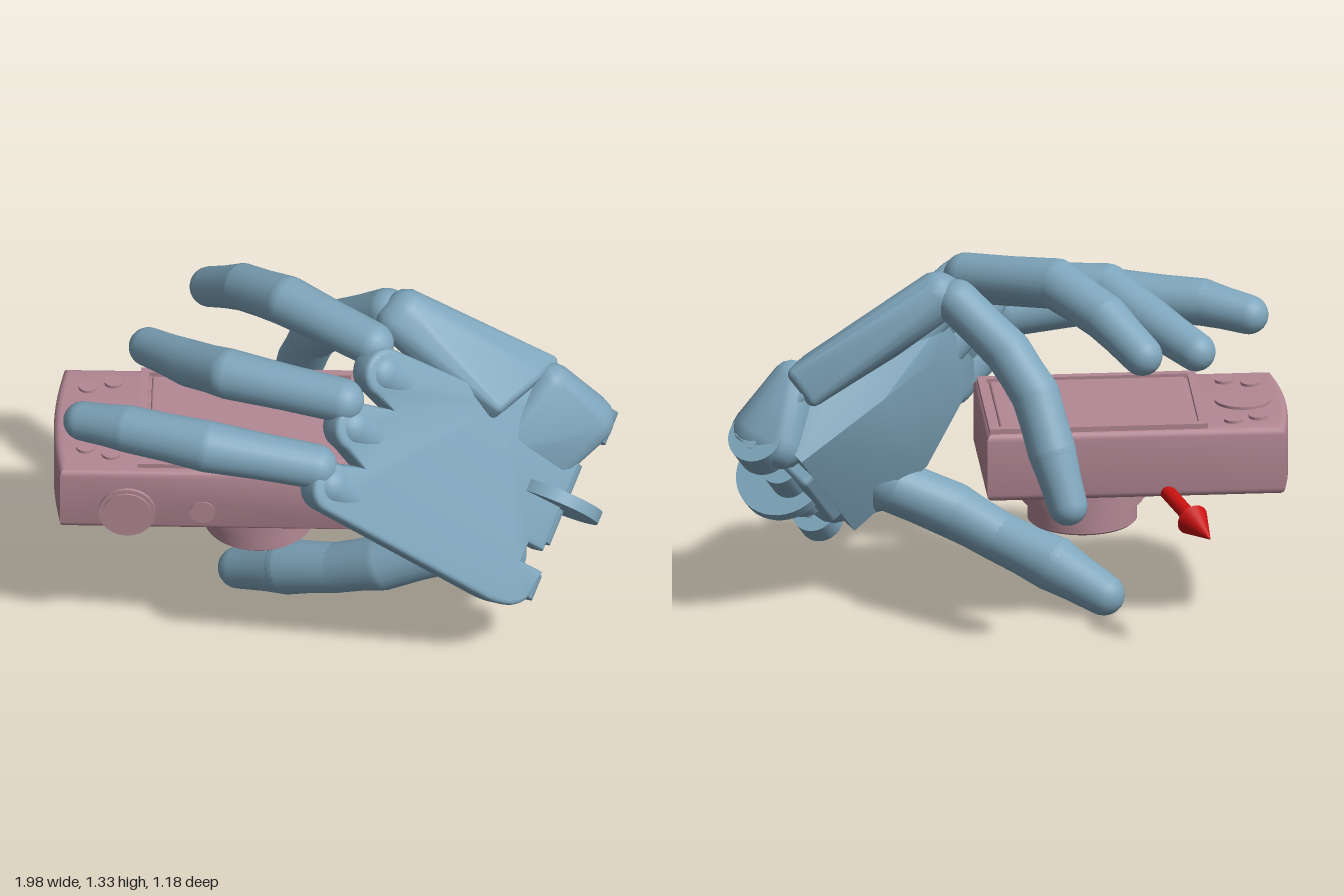
import * as THREE from 'three';
import { toCreasedNormals } from 'three/addons/utils/BufferGeometryUtils.js';
import { RoundedBoxGeometry } from 'three/addons/geometries/RoundedBoxGeometry.js';
import { ConvexGeometry } from 'three/addons/geometries/ConvexGeometry.js';

const V = (x, y, z) => new THREE.Vector3(x, y, z);
const mat = (color) => new THREE.MeshStandardMaterial({ color });
const blue = mat(0x7fa6bc), pink = mat(0xb38895), red = mat(0xc81010);

function add(parent, name, geo, material, x = 0, y = 0, z = 0) {
  const m = new THREE.Mesh(geo, material);
  m.name = name;
  m.position.set(x, y, z);
  parent.add(m);
  return m;
}

// turn a +y aligned mesh so that it points along a direction
const aim = (m, dir) => m.quaternion.setFromUnitVectors(V(0, 1, 0), dir.clone().normalize());

// one round-ended, slightly waisted bone from a to b
function bone(parent, name, a, b, ra, rb) {
  const len = a.distanceTo(b), pts = [];
  for (let i = 0; i <= 6; i++) {
    const t = (i / 6) * Math.PI / 2;
    pts.push(new THREE.Vector2(ra * Math.sin(t), -ra * Math.cos(t)));
  }
  pts.push(new THREE.Vector2((ra + rb) * 0.485, len * 0.5));
  for (let i = 0; i <= 6; i++) {
    const t = (i / 6) * Math.PI / 2;
    pts.push(new THREE.Vector2(rb * Math.cos(t), len + rb * Math.sin(t)));
  }
  const m = add(parent, name, new THREE.LatheGeometry(pts, 24), blue, a.x, a.y, a.z);
  aim(m, b.clone().sub(a));
}

// chain of bones; each point is [x, y, z, radius]
function finger(parent, name, chain) {
  const g = new THREE.Group();
  g.name = name;
  parent.add(g);
  const p = chain.map((c) => V(c[0], c[1], c[2]));
  for (let i = 0; i < p.length - 1; i++) {
    bone(g, i === p.length - 2 ? 'fingertip' : 'fingerBone', p[i], p[i + 1], chain[i][3], chain[i + 1][3]);
  }
}

// smooth hull around balls given as [x, y, z, radius]
function ballHull(parent, name, balls) {
  const pts = [];
  for (const [x, y, z, r] of balls) {
    const pos = new THREE.IcosahedronGeometry(r, 2).attributes.position;
    for (let i = 0; i < pos.count; i++) pts.push(V(pos.getX(i) + x, pos.getY(i) + y, pos.getZ(i) + z));
  }
  add(parent, name, toCreasedNormals(new ConvexGeometry(pts), 0.6), blue);
}

function buildHand() {
  const hand = new THREE.Group();
  hand.name = 'hand';

  // palm frame: x across to the little finger, y to the knuckles, z out of the back of the hand
  const L = V(-0.74, 0.63, 0.23).normalize();
  const N = V(0.41, 0.62, -0.67).cross(L).normalize();
  const W = L.clone().cross(N);
  const palm = new THREE.Group();
  palm.name = 'palm';
  palm.applyMatrix4(new THREE.Matrix4().makeBasis(W, L, N).setPosition(0.8, 0.5, 0.1));
  hand.add(palm);

  // back plate with wrist notches and three knuckle lobes
  const s = new THREE.Shape();
  s.moveTo(-0.34, 0.02);
  [[-0.27, 0.01], [-0.27, 0.11], [-0.17, 0.11], [-0.17, 0.04], [0.17, 0.04], [0.17, 0.11], [0.27, 0.11],
    [0.27, 0], [0.36, 0], [0.38, 0.3], [0.22, 0.42]].forEach((q) => s.lineTo(...q));
  s.absarc(0.13, 0.92, 0.07, 0, Math.PI);
  s.lineTo(0.02, 0.82);
  s.absarc(-0.09, 0.95, 0.07, 0, Math.PI);
  s.lineTo(-0.21, 0.84);
  s.absarc(-0.32, 0.94, 0.07, 0, Math.PI);
  s.lineTo(-0.41, 0.22);
  s.quadraticCurveTo(-0.42, 0.04, -0.34, 0.02);
  const plate = new THREE.ExtrudeGeometry(s, {
    depth: 0.065, bevelSize: 0.018, bevelThickness: 0.02, bevelSegments: 3, curveSegments: 12 });
  add(palm, 'backPlate', toCreasedNormals(plate, 0.6), blue, 0, 0, -0.055);

  // rounded knuckle ridges at the ends of the lobes
  [[-0.31, 0.94], [-0.09, 0.95], [0.13, 0.92]].forEach(([x, y]) => {
    bone(palm, 'knuckle', V(x, y - 0.25, -0.06), V(x, y, -0.03), 0.07, 0.08);
  });

  // fleshy inside of the palm
  const pad = [[-0.34, 0.08, -0.05], [0.34, 0.08, -0.05], [-0.29, 0.08, -0.22], [0.3, 0.08, -0.21],
    [-0.37, 0.4, -0.06], [-0.28, 0.42, -0.24], [0.2, 0.45, -0.2], [0.32, 0.4, -0.06],
    [-0.32, 0.8, -0.08], [0.14, 0.8, -0.1], [-0.2, 0.7, -0.17], [0.1, 0.68, -0.17]];
  add(palm, 'palmPad', toCreasedNormals(new ConvexGeometry(pad.map((q) => V(...q))), 0.7), blue);

  // wrist hinge: end lugs, block and a large centre disc
  const lug = (name, x, r, w, z) => {
    add(palm, name, new THREE.CylinderGeometry(r, r, w, 40), blue, x, 0.03, z).rotation.z = Math.PI / 2;
  };
  lug('wristLug', -0.31, 0.08, 0.09, -0.06);
  lug('wristLug', 0.31, 0.1, 0.12, -0.04);
  lug('wristDisc', 0, 0.17, 0.045, -0.02);
  lug('wristPin', 0, 0.07, 0.3, -0.07);
  add(palm, 'wristBlock', new RoundedBoxGeometry(0.34, 0.14, 0.2, 2, 0.02), blue, 0, 0.1, -0.11);

  // folded block that carries the little finger, and the wrist corner below it
  ballHull(hand, 'littleFingerBlock', [[0.24, 1.215, -0.06, 0.085], [0.2, 1.2, -0.03, 0.07],
    [0.74, 0.955, -0.12, 0.03], [0.69, 0.97, -0.04, 0.03], [0.56, 0.94, 0.11, 0.03],
    [0.68, 0.87, -0.13, 0.03], [0.52, 0.87, 0.08, 0.03]]);
  ballHull(hand, 'wristCorner', [[0.75, 0.91, -0.06, 0.075], [0.87, 0.73, -0.09, 0.1],
    [0.8, 0.7, -0.14, 0.085], [0.6, 0.75, 0.08, 0.05], [0.74, 0.6, 0.05, 0.05]]);

  // ball of the thumb
  ballHull(hand, 'thumbBase', [[0.58, 0.37, 0.22, 0.09], [0.41, 0.42, 0.23, 0.1], [0.56, 0.55, 0.1, 0.08]]);

  finger(hand, 'indexFinger', [[-0.07, 0.945, 0.485, 0.08], [-0.45, 1.01, 0.465, 0.092],
    [-0.73, 1.01, 0.37, 0.084], [-0.89, 0.985, 0.295, 0.07]]);
  finger(hand, 'middleFinger', [[0.02, 1.12, 0.33, 0.08], [-0.38, 1.13, 0.2, 0.09],
    [-0.52, 1.06, 0.05, 0.084], [-0.67, 1.0, -0.12, 0.07]]);
  finger(hand, 'ringFinger', [[0.12, 1.22, 0.13, 0.08], [-0.18, 1.25, -0.07, 0.09],
    [-0.34, 1.18, -0.24, 0.084], [-0.46, 1.08, -0.37, 0.072]]);
  finger(hand, 'littleFinger', [[0.17, 1.2, -0.09, 0.08], [0, 1.05, -0.21, 0.084],
    [-0.09, 0.92, -0.31, 0.086], [-0.14, 0.74, -0.4, 0.085], [-0.19, 0.56, -0.465, 0.07]]);
  finger(hand, 'thumb', [[0.4, 0.42, 0.24, 0.1], [0.16, 0.315, 0.21, 0.1], [0, 0.235, 0.14, 0.09],
    [-0.18, 0.165, 0.045, 0.1], [-0.35, 0.08, -0.055, 0.075]]);
  return hand;
}

function buildCamera() {
  const cam = new THREE.Group();
  cam.name = 'camera';

  // body with a bowed left end, lying on its lens side
  const s = new THREE.Shape();
  s.moveTo(-0.95, -0.28);
  s.lineTo(0.055, -0.28);
  s.lineTo(0.055, 0.275);
  s.lineTo(-0.95, 0.275);
  s.quadraticCurveTo(-1, 0, -0.95, -0.28);
  const body = new THREE.ExtrudeGeometry(s, {
    depth: 0.2, bevelSize: 0.025, bevelThickness: 0.025, bevelSegments: 4, curveSegments: 16 });
  body.rotateX(-Math.PI / 2);
  add(cam, 'body', toCreasedNormals(body, 0.6), pink, 0, 0.545, 0.003);

  // screen frame and screen
  const rect = (Type, w, h) => new Type([[-w, -h], [w, -h], [w, h], [-w, h]].map((q) => new THREE.Vector2(...q)));
  const frame = rect(THREE.Shape, 0.385, 0.28);
  frame.holes.push(rect(THREE.Path, 0.355, 0.25));
  const frameGeo = new THREE.ExtrudeGeometry(frame, { depth: 0.03, bevelEnabled: false });
  add(cam, 'screenFrame', frameGeo.rotateX(-Math.PI / 2), pink, -0.315, 0.757, 0);
  add(cam, 'screen', new RoundedBoxGeometry(0.69, 0.03, 0.48, 2, 0.008), pink, -0.315, 0.767, 0);

  // control dial and buttons on the back
  const disc = (name, r, h, x, y, z) => add(cam, name, new THREE.CylinderGeometry(r, r, h, 40), pink, x, y, z);
  disc('dial', 0.1, 0.02, -0.845, 0.77, 0);
  [[-0.885, -0.18], [-0.795, -0.21], [-0.885, 0.17], [-0.795, 0.205]]
    .forEach(([x, z]) => disc('button', 0.033, 0.02, x, 0.77, z));

  // shutter, power button and small details on the edge
  disc('modeDial', 0.1, 0.03, -0.735, 0.6, 0.305).rotation.x = Math.PI / 2;
  disc('shutterButton', 0.085, 0.044, -0.735, 0.6, 0.305).rotation.x = Math.PI / 2;
  disc('powerButton', 0.045, 0.02, -0.47, 0.6, 0.303).rotation.x = Math.PI / 2;
  add(cam, 'switch', new THREE.BoxGeometry(0.07, 0.022, 0.02), pink, -0.9, 0.62, 0.297);
  add(cam, 'indicator', new THREE.BoxGeometry(0.012, 0.03, 0.02), pink, -0.345, 0.62, 0.297);
  add(cam, 'flash', new THREE.BoxGeometry(0.2, 0.02, 0.1), pink, -0.07, 0.515, 0.2);

  // stepped lens barrel with a hollow front
  const steps = [[0, 0.38], [0.08, 0.38], [0.1, 0.35], [0.185, 0.345], [0.193, 0.352], [0.193, 0.425], [0.215, 0.425],
    [0.215, 0.455], [0.24, 0.455], [0.24, 0.495], [0.262, 0.495], [0.262, 0.53]];
  const lens = new THREE.LatheGeometry(steps.map((q) => new THREE.Vector2(...q)), 56);
  const lensMat = pink.clone();
  lensMat.side = THREE.DoubleSide;
  add(cam, 'lens', toCreasedNormals(lens, 0.5), lensMat, -0.28, 0, 0.01);
  add(cam, 'lensShutter', new THREE.BoxGeometry(0.08, 0.02, 0.06), pink, -0.28, 0.375, 0.01);
  return cam;
}

function buildArrow() {
  const arrow = new THREE.Group();
  arrow.name = 'arrow';
  const start = V(-0.52, 0.56, -0.2), tip = V(-0.685, 0.46, -0.58);
  const len = start.distanceTo(tip), head = 0.14;
  add(arrow, 'shaft', new THREE.CylinderGeometry(0.027, 0.027, len - head, 24), red, 0, (len - head) / 2, 0);
  add(arrow, 'head', new THREE.ConeGeometry(0.058, head, 32), red, 0, len - head / 2, 0);
  arrow.position.copy(start);
  aim(arrow, tip.clone().sub(start));
  return arrow;
}

export function createModel() {
  const model = new THREE.Group();
  model.name = 'handHoldingCamera';
  model.add(buildHand(), buildCamera(), buildArrow());
  return model;
}
